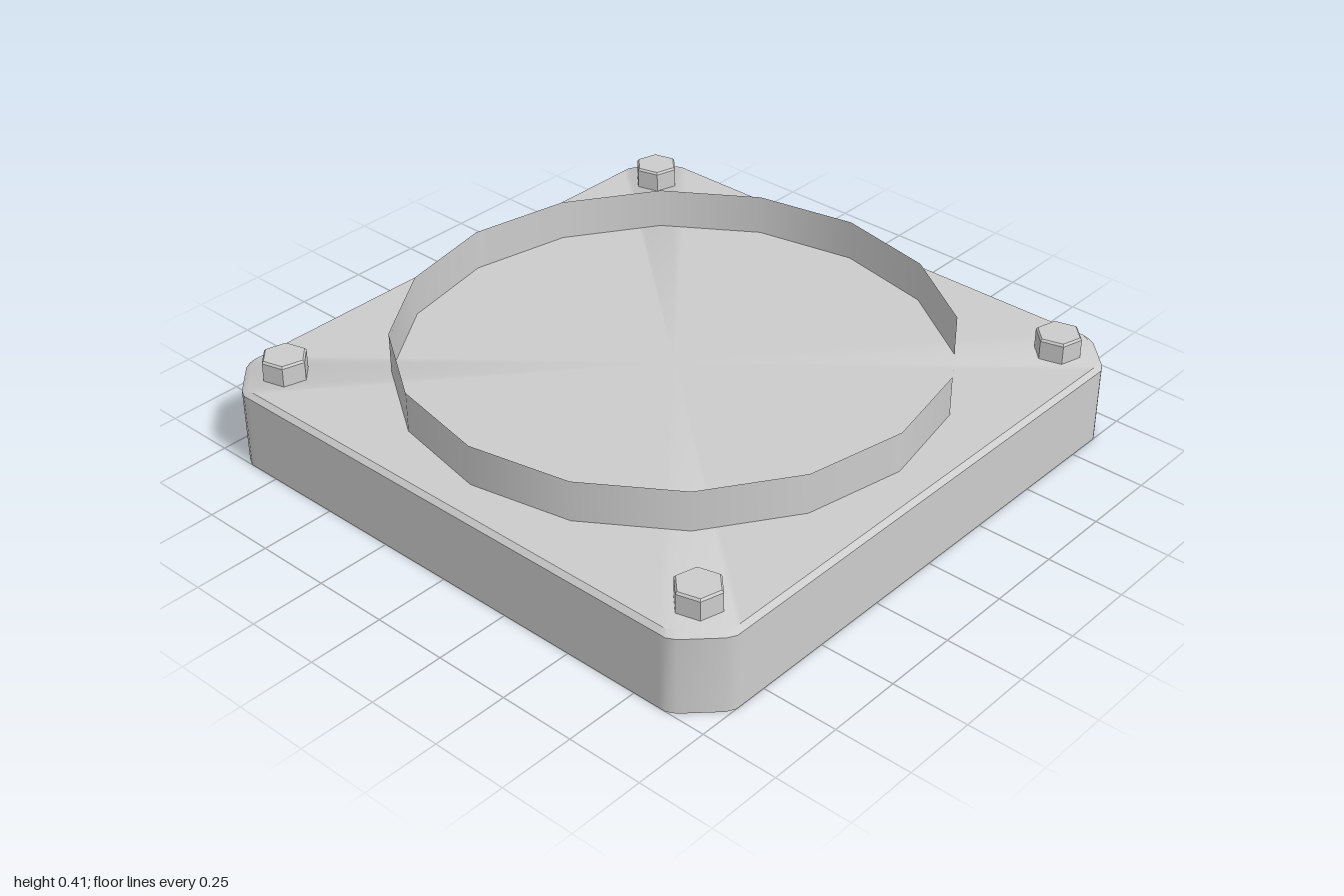
import * as THREE from 'three';
import { toCreasedNormals } from 'three/addons/utils/BufferGeometryUtils.js';

// Square outline with softened, cut corners, pulled in by an inset
function outline(inset) {
  const corner = [[1, 0.84], [1, 0.865], [0.985, 0.893], [0.893, 0.985], [0.865, 1], [0.84, 1]];
  const points = [];
  for (let q = 0; q < 4; q++) {
    const c = Math.round(Math.cos(q * Math.PI / 2)), s = Math.round(Math.sin(q * Math.PI / 2));
    for (const [x, z] of corner) points.push([(x * c - z * s) * (1 - inset), (x * s + z * c) * (1 - inset)]);
  }
  return points;
}

// Closed solid from stacked outlines
function baseGeometry() {
  const levels = [[0, 0], [0.255, 0], [0.27, 0.015]];
  const positions = [], index = [];
  for (const [y, inset] of levels) for (const [x, z] of outline(inset)) positions.push(x, y, z);
  const n = positions.length / 3 / levels.length;
  const bottom = positions.length / 3, top = bottom + 1;
  positions.push(0, 0, 0, 0, 0.27, 0);
  const last = (levels.length - 1) * n;
  for (let i = 0; i < n; i++) {
    const j = (i + 1) % n;
    for (let k = 0; k < last; k += n) {
      index.push(k + i, k + n + i, k + j, k + j, k + n + i, k + n + j);
    }
    index.push(bottom, i, j, top, last + j, last + i);
  }
  const geometry = new THREE.BufferGeometry();
  geometry.setAttribute('position', new THREE.Float32BufferAttribute(positions, 3));
  geometry.setIndex(index);
  return toCreasedNormals(geometry, 0.7);
}

export function createModel() {
  const model = new THREE.Group();
  model.name = 'boltedFlange';
  const grey = new THREE.MeshStandardMaterial({ color: 0xcccccc, side: THREE.DoubleSide });
  grey.name = 'light grey';

  const add = (name, geometry) => {
    const mesh = new THREE.Mesh(geometry, grey);
    mesh.name = name;
    model.add(mesh);
    return mesh;
  };

  // Square base plate
  add('basePlate', baseGeometry());

  // Thin open collar on top
  add('collar', new THREE.CylinderGeometry(0.875, 0.875, 0.135, 16, 1, true)).position.y = 0.3375;

  // Hexagonal bolt heads in the corners
  const profile = [[0.075, 0], [0.075, 0.063], [0.069, 0.07], [0, 0.07]].map(([r, y]) => new THREE.Vector2(r, y));
  const boltGeometry = toCreasedNormals(new THREE.LatheGeometry(profile, 6), 0.5);
  for (const x of [-1, 1]) {
    for (const z of [-1, 1]) {
      const bolt = add(`${z > 0 ? 'front' : 'back'}${x > 0 ? 'Left' : 'Right'}Bolt`, boltGeometry);
      bolt.position.set(x * 0.847, 0.27, z * 0.847);
      bolt.rotation.y = Math.PI / 4;
    }
  }
  return model;
}
